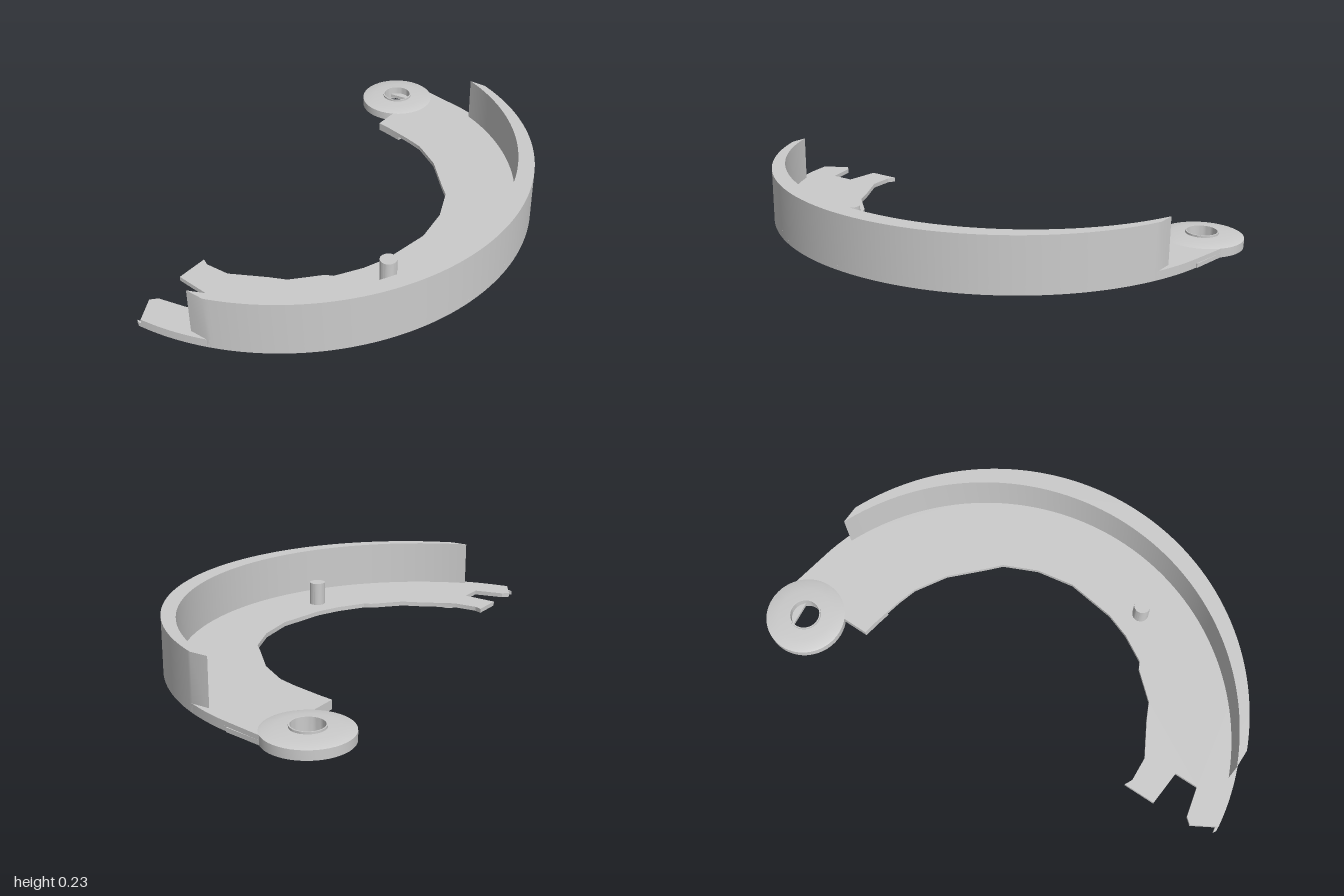
import * as THREE from 'three';
import { toCreasedNormals } from 'three/addons/utils/BufferGeometryUtils.js';

const CX = -0.03, CZ = -0.37, R = 0.98; // rim circle shared by plate, lip and wall
const SHIFT = 0.075;                    // wall thickness at the middle of the arc
const BASE = 0.01, WEB = 0.027, TOP = 0.045;

export function createModel() {
  const group = new THREE.Group();
  const material = new THREE.MeshStandardMaterial({ color: 0xcccccc });

  const add = (name, geometry) => {
    const mesh = new THREE.Mesh(toCreasedNormals(geometry, 0.5), material);
    mesh.name = name;
    group.add(mesh);
    return mesh;
  };
  // Extrude an (x, z) outline between two heights
  const slab = (shape, bottom, top) => {
    const g = new THREE.ExtrudeGeometry(shape, { depth: top - bottom, bevelEnabled: false, curveSegments: 64 });
    return g.rotateX(Math.PI / 2).translate(0, top, 0);
  };
  // Crescent between the rim circle and the same circle moved back
  const crescent = (outerLeft, outerRight, innerRight, innerLeft) => {
    const s = new THREE.Shape();
    s.absarc(CX, CZ, R, Math.PI - outerLeft, outerRight, true);
    s.absarc(CX, CZ - SHIFT, R, innerRight, Math.PI - innerLeft, false);
    s.closePath();
    return s;
  };

  // Web plate: round outer rim, stepped inner edge, notch at the right end
  const plate = new THREE.Shape();
  plate.moveTo(-1, -0.287);
  plate.absarc(CX, CZ, R, Math.PI - 0.1, 0.2, true);
  [[0.962, -0.36], [0.95, -0.385], [0.69, -0.382], [0.59, -0.382], [0.58, -0.32], [0.555, -0.2],
    [0.532, -0.12], [0.457, 0.003], [0.337, 0.123], [0.29, 0.173], [0.155, 0.233], [0, 0.258],
    [-0.2, 0.228], [-0.3, 0.19], [-0.405, 0.128], [-0.42, 0.098], [-0.525, 0.003], [-0.555, -0.062],
    [-0.63, -0.2], [-0.635, -0.3], [-0.62, -0.33], [-0.75, -0.33], [-0.762, -0.185],
    [-0.858, -0.185], [-0.885, -0.305], [-0.91, -0.327]].forEach(([x, z]) => plate.lineTo(x, z));
  plate.closePath();
  add('webPlate', slab(plate, WEB, TOP));

  // Lip hanging below the outer edge of the plate
  add('lowerLip', slab(crescent(0.087, 0.17, 0.25, 0.15), BASE, WEB));

  // Thicker pad under the plate next to the pivot
  const pad = new THREE.Shape();
  [[0.94, -0.205], [0.962, -0.36], [0.95, -0.385], [0.69, -0.382], [0.59, -0.382], [0.58, -0.32],
    [0.568, -0.26]].forEach(([x, z], i) => (i ? pad.lineTo(x, z) : pad.moveTo(x, z)));
  pad.closePath();
  add('pivotPad', slab(pad, BASE, WEB));

  // Upright rim wall, cut off square at both ends
  const a = Math.acos(0.912 / R);
  add('rimWall', slab(crescent(a, a, a, a), BASE, 0.23));

  // Pivot eye: slightly domed washer with a thin collar above and a wider one below
  const eye = [[0.059, 0.003], [0.07, 0.003], [0.07, BASE], [0.16, BASE], [0.16, TOP],
    [0.15, 0.048], [0.11, 0.053], [0.064, 0.055], [0.064, 0.063], [0.059, 0.063], [0.059, 0.003]]
    .map(([r, y]) => new THREE.Vector2(r, y));
  add('pivotEye', new THREE.LatheGeometry(eye, 48)).position.set(0.837, 0, -0.458);

  // Small shelf on one side of the pivot hole
  const shelf = new THREE.Shape();
  shelf.absarc(0.837, -0.458, 0.06, -1.15, 0.9, false);
  shelf.closePath();
  add('pivotShelf', slab(shelf, 0.015, 0.03));

  // Locating pin standing on the plate, and short studs below it
  const pin = (name, x, z, bottom, top) =>
    add(name, new THREE.CylinderGeometry(0.033, 0.033, top - bottom, 24)).position.set(x, (bottom + top) / 2, z);
  pin('locatingPin', -0.3, 0.303, BASE, 0.14);
  pin('lowerStud', -0.61, 0.1, BASE, WEB + 0.005);
  pin('lowerStud', -0.68, -0.14, BASE, WEB + 0.005);

  return group;
}
